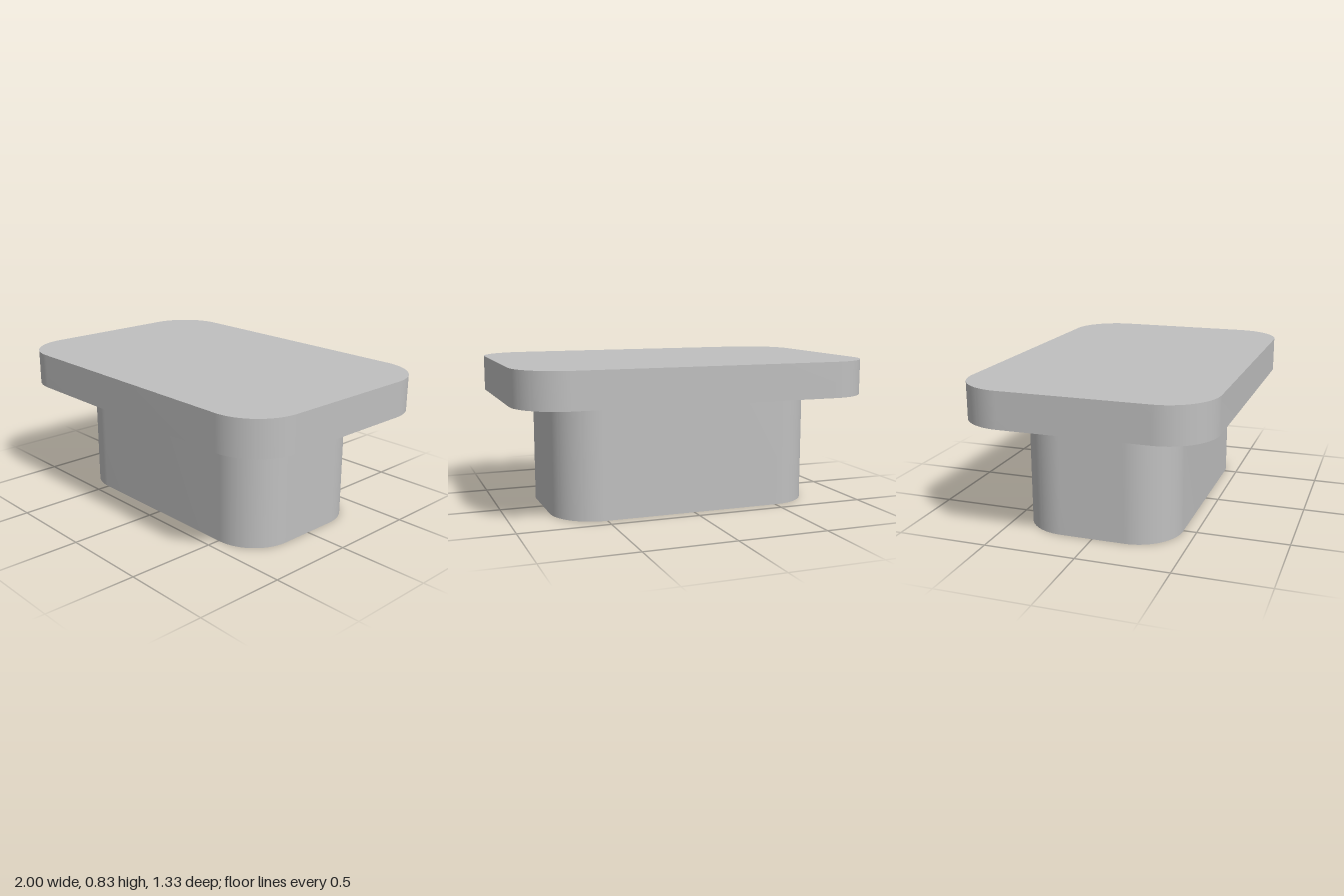
import * as THREE from 'three';
import { toCreasedNormals } from 'three/addons/utils/BufferGeometryUtils.js';

// Upright block with a rounded-rectangle footprint
function roundedBlock(name, halfX, halfZ, radius, bottom, top, material) {
  const x = halfX - radius, z = halfZ - radius;
  const shape = new THREE.Shape();
  shape.absarc(x, z, radius, 0, Math.PI / 2);
  shape.absarc(-x, z, radius, Math.PI / 2, Math.PI);
  shape.absarc(-x, -z, radius, Math.PI, Math.PI * 1.5);
  shape.absarc(x, -z, radius, Math.PI * 1.5, Math.PI * 2);
  shape.closePath();
  const extruded = new THREE.ExtrudeGeometry(shape, {
    depth: top - bottom, bevelEnabled: false, curveSegments: 20,
  });
  extruded.rotateX(-Math.PI / 2).translate(0, bottom, 0);
  const mesh = new THREE.Mesh(toCreasedNormals(extruded, Math.PI / 6), material);
  mesh.name = name;
  return mesh;
}

export function createModel() {
  const grey = new THREE.MeshStandardMaterial({ color: 0xc0c0c0 });
  grey.name = 'light grey';

  const model = new THREE.Group();
  model.name = 'plug';
  model.add(
    // Plug body that goes into the opening
    roundedBlock('plugBody', 0.757, 0.427, 0.25, 0, 0.632, grey),
    // Wider flange on top
    roundedBlock('topFlange', 1, 0.667, 0.27, 0.632, 0.83, grey),
  );
  return model;
}
